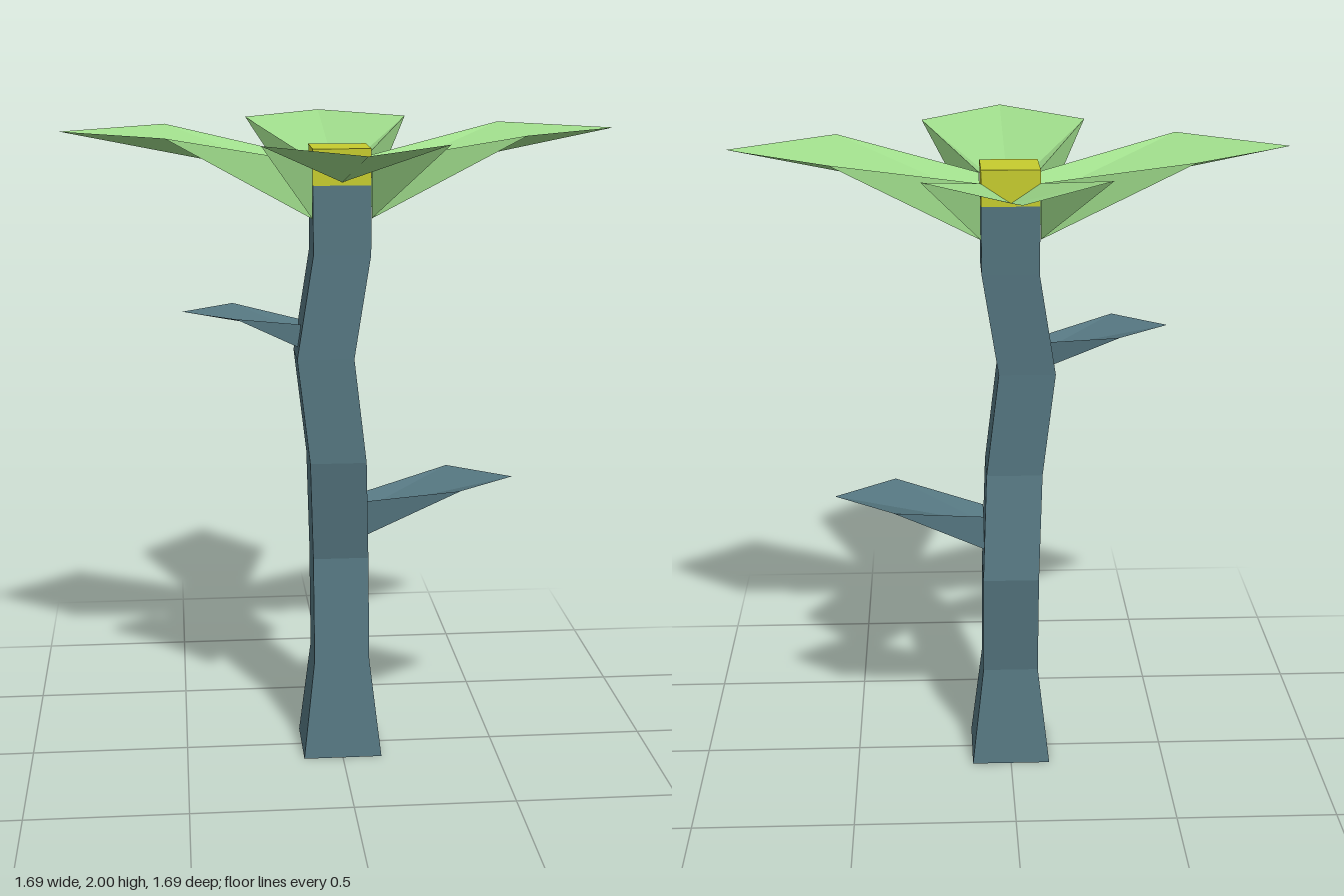
import * as THREE from 'three';

const paint = (color) => new THREE.MeshStandardMaterial({ color, flatShading: true, side: THREE.DoubleSide });

function facetMesh(name, triangles, material) {
  const geometry = new THREE.BufferGeometry();
  geometry.setAttribute('position', new THREE.Float32BufferAttribute(triangles.flat(2), 3));
  geometry.computeVertexNormals();
  const mesh = new THREE.Mesh(geometry, material);
  mesh.name = name;
  return mesh;
}

// Folded blade growing along +x: a valley-shaped top with a hanging flap on each side
function blade(name, d, material) {
  const centre = [d.root, d.centreY, 0];
  const tip = [d.tip, d.topY, 0];
  const triangles = [];
  for (const s of [1, -1]) {
    const shoulder = [d.shoulder, d.topY, s * d.halfWidth];
    const upper = [d.root, d.upperY, s * d.rootHalf];
    const lower = [d.root, d.lowerY, s * d.rootHalf];
    const half = [
      [centre, shoulder, tip],
      [centre, upper, shoulder],
      [upper, lower, shoulder],
    ];
    // The mirrored half needs its corner order swapped
    for (const [a, b, c] of half) triangles.push(s > 0 ? [a, b, c] : [a, c, b]);
  }
  return facetMesh(name, triangles, material);
}

// Square trunk lofted through rings of [y, centre x, centre z, half width]
function trunk(material) {
  const rings = [
    [0, 0, 0, 0.125],
    [0.32, 0, 0, 0.088],
    [0.65, 0, -0.04, 0.088],
    [0.98, -0.013, 0.023, 0.088],
    [1.31, -0.052, 0.022, 0.088],
    [1.63, 0, 0.008, 0.088],
    [1.84, 0, 0, 0.089],
  ].map(([y, x, z, h]) => [[1, 1], [1, -1], [-1, -1], [-1, 1]].map(([sx, sz]) => [x + sx * h, y, z + sz * h]));
  const triangles = [];
  for (let i = 0; i < rings.length - 1; i++) {
    for (let k = 0; k < 4; k++) {
      const n = (k + 1) % 4;
      const [a, b, c, d] = [rings[i][k], rings[i][n], rings[i + 1][n], rings[i + 1][k]];
      triangles.push([a, b, c], [a, c, d]);
    }
  }
  const [p, q, r, s] = rings[0];
  triangles.push([p, r, q], [p, s, r]);
  const [t, u, v, w] = rings[rings.length - 1];
  triangles.push([t, u, v], [t, v, w]);
  return facetMesh('trunk', triangles, material);
}

export function createModel() {
  const group = new THREE.Group();
  const bark = paint(0x54757f);
  const green = paint(0x9fdc8b);
  const yellow = paint(0xc6cc2e);

  group.add(trunk(bark));

  // Yellow heart on top of the trunk
  const heart = new THREE.Mesh(new THREE.BoxGeometry(0.178, 0.11, 0.178), yellow);
  heart.name = 'heart';
  heart.position.y = 1.895;
  group.add(heart);

  // Four leaves around the heart
  const leafSize = {
    root: 0.09, shoulder: 0.53, tip: 0.845, halfWidth: 0.265, rootHalf: 0.09,
    topY: 2, centreY: 1.85, upperY: 1.91, lowerY: 1.74,
  };
  for (let i = 0; i < 4; i++) {
    const leaf = blade('leaf', leafSize, green);
    leaf.rotation.y = (i * Math.PI) / 2;
    group.add(leaf);
  }

  // Two side shoots on the trunk
  group.add(blade('lowerShoot', {
    root: 0.083, shoulder: 0.365, tip: 0.555, halfWidth: 0.16, rootHalf: 0.056,
    topY: 0.895, centreY: 0.8, upperY: 0.84, lowerY: 0.73,
  }, bark));
  const upperShoot = blade('upperShoot', {
    root: 0.125, shoulder: 0.328, tip: 0.488, halfWidth: 0.143, rootHalf: 0.05,
    topY: 1.447, centreY: 1.38, upperY: 1.41, lowerY: 1.335,
  }, bark);
  upperShoot.rotation.y = Math.PI;
  group.add(upperShoot);

  return group;
}
